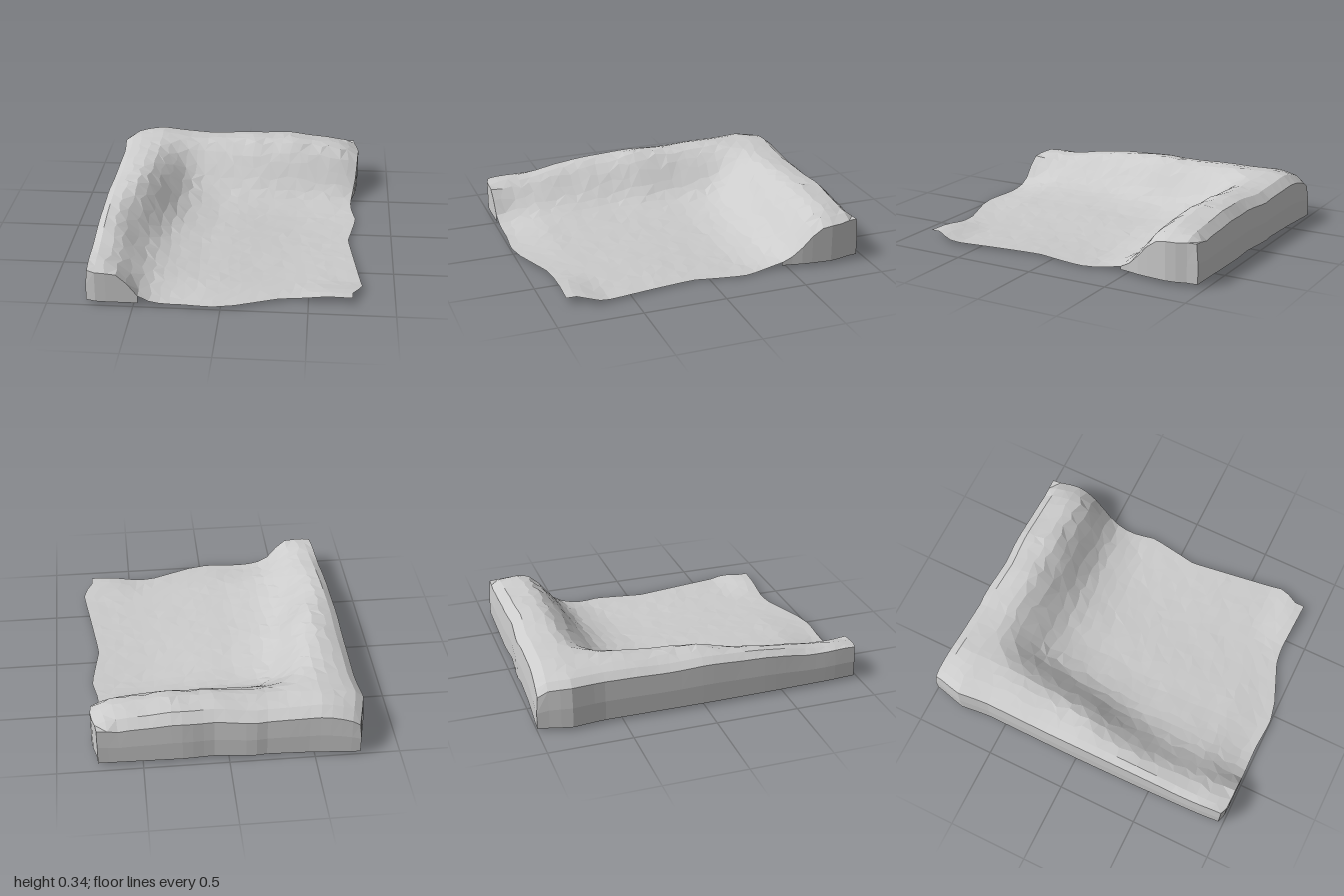
import * as THREE from 'three';

// piecewise-linear lookup through [position, value] points
function along(points, t) {
  if (t <= points[0][0]) return points[0][1];
  for (let i = 1; i < points.length; i++) {
    const [a, va] = points[i - 1], [b, vb] = points[i];
    if (t <= b) return va + (vb - va) * (t - a) / (b - a);
  }
  return points[points.length - 1][1];
}
const { lerp, smoothstep } = THREE.MathUtils;

// ragged outline of the plot
const leftEdge = [[-1, -0.75], [-0.8, -0.805], [-0.62, -0.785], [0, -0.79], [0.4, -0.785], [0.8, -0.775], [1, -0.76]];
const rightEdge = [[-0.95, 0.76], [-0.82, 0.795], [-0.62, 0.78], [-0.5, 0.755], [-0.38, 0.745], [-0.2, 0.78],
  [0, 0.75], [0.12, 0.73], [0.4, 0.765], [0.78, 0.815], [0.88, 0.755]];
const frontEdge = [[-0.76, 0.97], [-0.73, 0.99], [-0.47, 0.99], [-0.25, 0.985], [-0.05, 1], [0.08, 0.975],
  [0.35, 0.875], [0.45, 0.865], [0.76, 0.88]];
const backEdge = [[-0.76, -0.99], [-0.5, -0.97], [-0.22, -0.96], [-0.15, -0.968], [0.1, -0.945], [0.25, -0.955], [0.76, -0.945]];

// crest heights of the two banks
const leftCrest = [[-1, 0.33], [-0.6, 0.333], [-0.3, 0.322], [0, 0.327], [0.35, 0.312], [0.55, 0.292], [0.8, 0.235], [1, 0.205]];
const backCrest = [[-0.8, 0.325], [-0.55, 0.34], [-0.25, 0.315], [0.1, 0.335], [0.35, 0.338], [0.55, 0.318], [0.7, 0.295], [0.78, 0.25]];
// where the banks begin to fall and where they run out into the floor
const leftShoulder = [[-0.4, -0.6], [0, -0.66], [0.25, -0.74], [0.45, -0.8], [0.75, -0.77], [1, -0.62]];
const leftToe = [[-0.4, -0.28], [0, -0.33], [0.25, -0.38], [0.75, -0.39], [1, -0.44]];
const backShoulder = [[-0.2, -0.8], [0.6, -0.76], [0.78, -0.75]];
const backToe = [[-0.2, -0.4], [0.2, -0.41], [0.6, -0.44], [0.78, -0.48]];
// hollow cross-section of a bank, with a long shallow foot
const bankProfile = [[0, 1], [0.2, 0.95], [0.45, 0.72], [0.6, 0.5], [0.8, 0.26], [1, 0.12], [1.3, 0.04], [1.6, 0]];
// floor falling gently away from the side bank
const floorLevel = [[-0.5, 0.055], [-0.2, 0.047], [0, 0.036], [0.2, 0.022], [0.4, 0.014], [0.8, 0.014]];

function fall(t, shoulder, toe) {
  return along(bankProfile, (t - shoulder) / (toe - shoulder));
}

function height(x, z, u, v) {
  const a = fall(x, along(leftShoulder, z), along(leftToe, z));
  const b = fall(z, along(backShoulder, x), along(backToe, x));
  const bank = 1 - (1 - a) * (1 - b);
  const crest = (along(leftCrest, z) * a + along(backCrest, x) * b) / Math.max(a + b, 1e-6);
  // outer rims are rounded off
  const rimL = lerp(along([[0, 0.76], [0.03, 0.89], [0.08, 0.97], [0.14, 1]], u), 1, smoothstep(z, 0.6, 1));
  const rimB = lerp(along([[0, 0.78], [0.03, 0.95], [0.09, 1]], v), 1, smoothstep(x, 0.65, 0.78));
  // floor with a shallow hollow, a level front edge and a lifted front corner
  const hollow = Math.exp(-(((x - 0.5) / 0.35) ** 2) - ((z + 0.15) / 0.35) ** 2);
  const base = lerp(along(floorLevel, x), 0.018, smoothstep(v, 0.85, 1));
  const floor = base - 0.012 * hollow + 0.025 * smoothstep(z, 0.62, 0.82) * smoothstep(x, 0.4, 0.65);
  const ripple = Math.sin(15 * x + 4 * z + 1) * Math.cos(11 * z - 7 * x);
  return floor + (crest - floor) * bank * rimL * rimB + 0.004 * ripple * bank;
}

// small seeded noise for irregular facets
let seed = 7;
function noise() {
  seed = (seed * 16807) % 2147483647;
  return seed / 2147483647 - 0.5;
}

// grid steps, with one narrow step for the rim
function steps(n) {
  const list = [0, 0.03];
  for (let i = 1; i <= n; i++) list.push(0.03 + 0.97 * i / n);
  return list;
}

function buildGeometry(positions, index) {
  const g = new THREE.BufferGeometry();
  g.setAttribute('position', new THREE.Float32BufferAttribute(positions, 3));
  g.setIndex(index);
  g.computeVertexNormals();
  return g;
}

export function createModel() {
  const group = new THREE.Group();
  const material = new THREE.MeshStandardMaterial({ color: 0xcccccc, flatShading: true, side: THREE.DoubleSide });

  // ground surface with banks on the left and back
  const us = steps(24), vs = steps(29);
  const nu = us.length, nv = vs.length;
  const points = [], faces = [];
  for (let j = 0; j < nv; j++) {
    for (let i = 0; i < nu; i++) {
      const jitter = i > 1 && j > 1 && i < nu - 1 && j < nv - 1 ? 1 : 0;
      const u = us[i] + jitter * noise() * 0.02;
      const v = vs[j] + jitter * noise() * 0.017;
      const x0 = lerp(-0.78, 0.78, u), z0 = lerp(-0.98, 0.95, v);
      const x = lerp(along(leftEdge, z0), along(rightEdge, z0), u);
      const z = lerp(along(backEdge, x0), along(frontEdge, x0), v);
      points.push(x, Math.max(0, height(x, z, u, v) + jitter * noise() * 0.003), z);
      if (i < nu - 1 && j < nv - 1) {
        const a = j * nu + i, b = a + 1, c = a + nu, d = c + 1;
        if ((i + j) % 2) faces.push(a, c, b, b, c, d);
        else faces.push(a, c, d, a, d, b);
      }
    }
  }
  const ground = new THREE.Mesh(buildGeometry(points, faces), material);
  ground.name = 'groundSurface';
  group.add(ground);

  // outer walls below the raised rim, flared slightly at the foot; the underside stays open
  function wall(name, ids) {
    const p = [], f = [];
    ids.forEach((id, k) => {
      const [x, y, z] = points.slice(id * 3, id * 3 + 3);
      const foot = Math.min(y, 0.02);
      const dx = id % nu === 0 ? -0.01 : 0, dz = id < nu ? -0.01 : 0;
      p.push(x, y, z, x + dx, lerp(y, foot, 0.5), z + dz, x + dx, foot, z + dz);
      if (k > 0) {
        for (let r = 0; r < 2; r++) {
          const n = k * 3 + r;
          f.push(n - 3, n - 2, n, n, n - 2, n + 1);
        }
      }
    });
    const mesh = new THREE.Mesh(buildGeometry(p, f), material);
    mesh.name = name;
    group.add(mesh);
  }
  const across = [...Array(nu).keys()], deep = [...Array(nv).keys()];
  const raised = id => points[id * 3 + 1] > 0.035;
  wall('sideWall', deep.map(j => j * nu));
  wall('backWall', across.map(i => nu - 1 - i));
  wall('frontBankEnd', across.slice(0, 8).map(i => (nv - 1) * nu + i).filter(raised));
  wall('sideBankEnd', deep.slice(0, 11).map(j => j * nu + nu - 1).filter(raised).reverse());

  return group;
}
